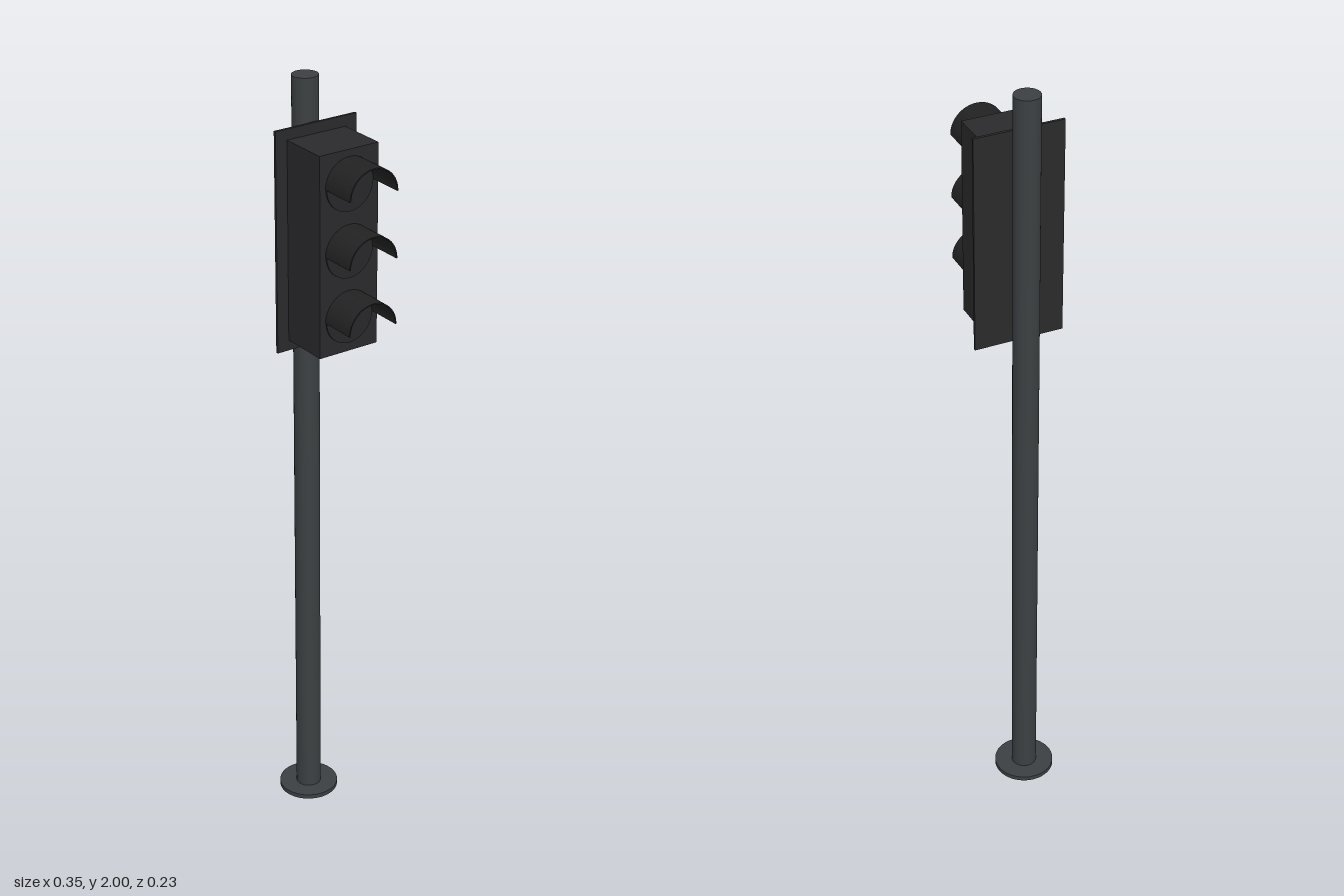
import * as THREE from 'three';

const paint = (color) => new THREE.MeshStandardMaterial({ color });

export function createModel() {
  const model = new THREE.Group();
  model.name = 'trafficLight';
  const poleMat = paint(0x3c4042);
  const bodyMat = paint(0x2a2a2c);
  const visorMat = paint(0x222223);
  const lensMat = paint(0x28282a);

  const add = (name, geometry, material, x, y, z = 0) => {
    const mesh = new THREE.Mesh(geometry, material);
    mesh.name = name;
    mesh.position.set(x, y, z);
    model.add(mesh);
    return mesh;
  };

  // Post on a round foot plate
  add('footPlate', new THREE.CylinderGeometry(0.077, 0.077, 0.012, 48), poleMat, -0.1, 0.006);
  add('pole', new THREE.CylinderGeometry(0.0325, 0.0325, 1.99, 40), poleMat, -0.1, 1.005);

  // Backing board and signal housing, facing +x
  add('backBoard', new THREE.BoxGeometry(0.007, 0.562, 0.23), bodyMat, -0.058, 1.615);
  add('housing', new THREE.BoxGeometry(0.132, 0.508, 0.166), bodyMat, 0.011, 1.615);

  // Half-round visor: a thin arch, extruded outwards
  const arch = new THREE.Shape();
  arch.absarc(0, 0, 0.068, 0, Math.PI, false);
  arch.absarc(0, 0, 0.065, Math.PI, 0, true);
  arch.closePath();
  const visorGeo = new THREE.ExtrudeGeometry(arch, { depth: 0.097, bevelEnabled: false, curveSegments: 24 });
  visorGeo.rotateY(Math.PI / 2);

  // Lens disc with its axis along x
  const lensGeo = new THREE.CylinderGeometry(0.066, 0.066, 0.008, 40);
  lensGeo.rotateZ(-Math.PI / 2);

  // Three lamps, top to bottom
  ['top', 'middle', 'bottom'].forEach((place, i) => {
    const y = 1.784 - i * 0.167;
    add(place + 'Lens', lensGeo, lensMat, 0.077, y);
    add(place + 'Visor', visorGeo, visorMat, 0.078, y);
  });

  return model;
}
